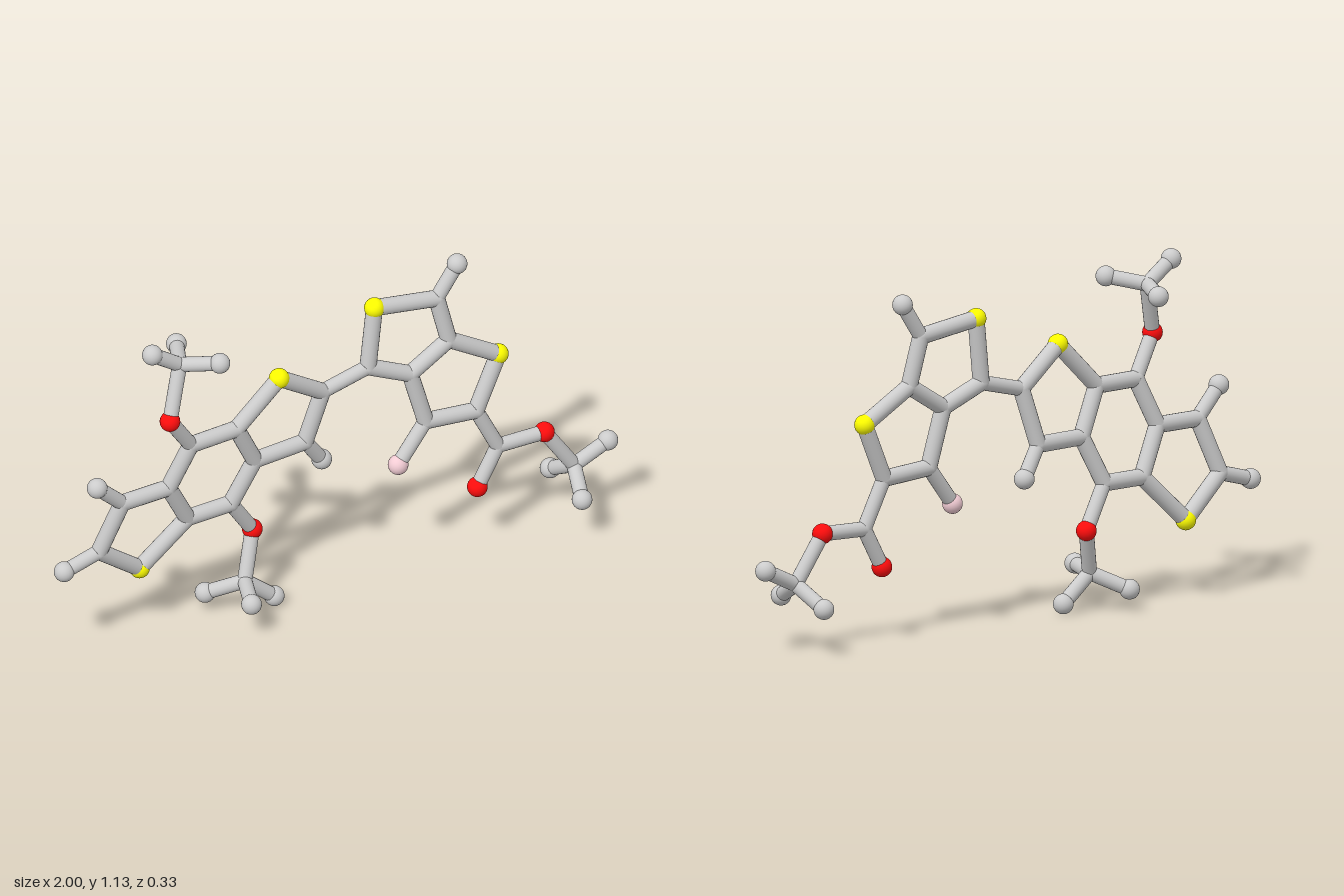
import * as THREE from 'three';

const BALL = 0.033, RING = 0.027, STICK = 0.024;
const material = (color) => new THREE.MeshStandardMaterial({ color });
const grey = material(0xcccccc), yellow = material(0xffff00), red = material(0xff0d0d), pink = material(0xf2ccd4);

// Atom positions; the first letter gives the kind: c joint, h end ball, s sulfur, o oxygen, f fluorine
const atoms = {
  // left fused three-ring core
  s1: [-0.68, 0.26, -0.045], c1: [-0.84, 0.39, -0.015], c2: [-0.77, 0.57, 0.01],
  c3: [-0.6, 0.57, 0], c4: [-0.52, 0.415, -0.025], c5: [-0.53, 0.725, 0.02],
  c6: [-0.36, 0.725, 0.005], c7: [-0.285, 0.57, -0.015], c8: [-0.36, 0.415, -0.035],
  s2: [-0.21, 0.875, 0.01], c9: [-0.04, 0.755, -0.02], c10: [-0.095, 0.57, -0.035],
  h1: [-0.967, 0.355, -0.01], h2: [-0.867, 0.665, 0.025], h3: [-0.025, 0.47, -0.055],
  // upper methoxy
  o1: [-0.62, 0.86, 0.05], c11: [-0.56, 1.03, 0],
  h4: [-0.66, 1.1, 0.005], h5: [-0.46, 1.055, 0.085], h6: [-0.505, 1.015, -0.13],
  // lower methoxy
  o2: [-0.27, 0.275, -0.06], c12: [-0.325, 0.125, -0.005],
  h7: [-0.43, 0.07, -0.077], h8: [-0.37, 0.13, 0.13], h9: [-0.22, 0.036, -0.005],
  // right fused two-ring unit
  s3: [0.153, 1.007, -0.035], c13: [0.125, 0.795, -0.025], c14: [0.27, 0.73, -0.015],
  c15: [0.41, 0.815, -0.02], c16: [0.375, 0.975, -0.035], s4: [0.585, 0.71, -0.015],
  c17: [0.5, 0.525, -0.005], c18: [0.32, 0.54, -0.005],
  h10: [0.448, 1.085, -0.035], f1: [0.217, 0.41, 0.005],
  // ester
  c19: [0.575, 0.37, 0], o3: [0.5, 0.238, 0.005], o4: [0.74, 0.373, 0.003], c20: [0.842, 0.22, 0.01],
  h11: [0.963, 0.277, 0.01], h12: [0.812, 0.165, 0.125], h13: [0.812, 0.152, -0.098],
};

const rings = [
  's1 c1 c2 c3 c4', 'c3 c5 c6 c7 c8 c4', 'c6 s2 c9 c10 c7',
  's3 c13 c14 c15 c16', 'c14 c15 s4 c17 c18',
];
const branches = [
  'c1 h1', 'c2 h2', 'c10 h3', 'c5 o1 c11 h4', 'c11 h5', 'c11 h6', 'c8 o2 c12 h7', 'c12 h8', 'c12 h9',
  'c9 c13', 'c16 h10', 'c18 f1', 'c17 c19 o3', 'c19 o4 c20 h11', 'c20 h12', 'c20 h13',
];

const kinds = {
  c: ['carbonJoint', RING, grey], h: ['hydrogenBall', BALL, grey], s: ['sulfurBall', BALL, yellow],
  o: ['oxygenBall', BALL, red], f: ['fluorineBall', BALL, pink],
};
const point = (key) => new THREE.Vector3(...atoms[key]);

// Cylinder between two atoms
function bond(a, b, radius, name) {
  const start = point(a), dir = point(b).sub(start), length = dir.length();
  const mesh = new THREE.Mesh(new THREE.CylinderGeometry(radius, radius, length, 20, 1), grey);
  mesh.position.copy(start).addScaledVector(dir, 0.5);
  mesh.quaternion.setFromUnitVectors(new THREE.Vector3(0, 1, 0), dir.normalize());
  mesh.name = name;
  return mesh;
}

export function createModel() {
  const model = new THREE.Group();
  model.name = 'molecule';
  const balls = new THREE.Group(), sticks = new THREE.Group();
  balls.name = 'atoms';
  sticks.name = 'bonds';
  model.add(balls, sticks);

  const inRing = new Set(rings.join(' ').split(' '));
  for (const key of Object.keys(atoms)) {
    const [name, size, mat] = kinds[key[0]];
    const radius = key[0] === 'c' && !inRing.has(key) ? STICK : size;
    const ball = new THREE.Mesh(new THREE.SphereGeometry(radius, 24, 16), mat);
    ball.position.copy(point(key));
    ball.name = name;
    balls.add(ball);
  }

  // Ring bonds close on themselves; shared edges are built once
  const done = new Set();
  for (const ring of rings) {
    const keys = ring.split(' ');
    keys.forEach((a, i) => {
      const b = keys[(i + 1) % keys.length], id = [a, b].sort().join();
      if (done.has(id)) return;
      done.add(id);
      sticks.add(bond(a, b, RING, 'ringBond'));
    });
  }

  // Side chains and the link between the two ring units
  for (const branch of branches) {
    const keys = branch.split(' ');
    for (let i = 1; i < keys.length; i++) sticks.add(bond(keys[i - 1], keys[i], STICK, 'branchBond'));
  }
  return model;
}
